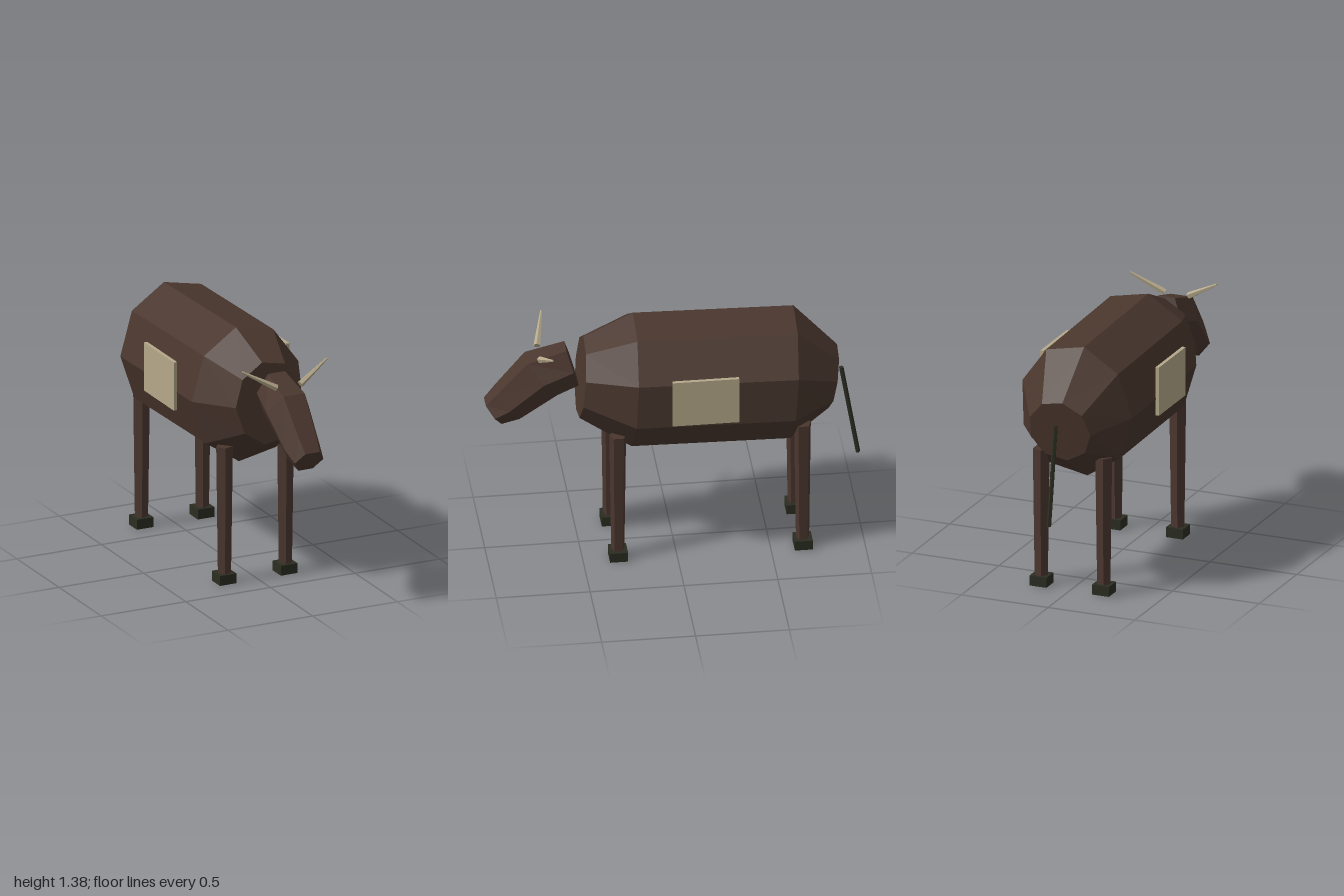
import * as THREE from 'three';

const flat = (name, color) => {
  const m = new THREE.MeshStandardMaterial({ color });
  m.name = name;
  m.flatShading = true;
  return m;
};

// Closed loft through rings listed back to front; each ring is [y, z, halfWidth, upY, upZ].
function loft(rings, sides, startAngle) {
  const pos = [], index = [];
  for (const [y, z, w, uy, uz] of rings) {
    for (let j = 0; j < sides; j++) {
      const a = startAngle + (j / sides) * Math.PI * 2;
      pos.push(w * Math.cos(a), y + uy * Math.sin(a), z + uz * Math.sin(a));
    }
  }
  const last = (rings.length - 1) * sides;
  for (let i = 0; i < last; i += sides) {
    for (let j = 0; j < sides; j++) {
      const k = (j + 1) % sides;
      index.push(i + j, i + k, i + sides + k, i + j, i + sides + k, i + sides + j);
    }
  }
  for (let j = 1; j < sides - 1; j++) {
    index.push(0, j + 1, j, last, last + j, last + j + 1);
  }
  const g = new THREE.BufferGeometry();
  g.setAttribute('position', new THREE.Float32BufferAttribute(pos, 3));
  g.setIndex(index);
  const out = g.toNonIndexed();
  out.computeVertexNormals();
  return out;
}

export function createModel() {
  const group = new THREE.Group();
  const hide = flat('brown hide', 0x4a372e);
  const dark = flat('dark hoof', 0x2b2d21);
  const bone = flat('pale bone', 0xb5a88a);

  const add = (name, geometry, material, x = 0, y = 0, z = 0) => {
    const m = new THREE.Mesh(geometry, material);
    m.name = name;
    m.position.set(x, y, z);
    group.add(m);
    return m;
  };

  // Tapered rod between two points
  const rod = (name, a, b, rA, rB, sides, material) => {
    const from = new THREE.Vector3(...a), to = new THREE.Vector3(...b);
    const dir = to.clone().sub(from);
    const m = add(name, new THREE.CylinderGeometry(rB, rA, dir.length(), sides), material);
    m.position.copy(from).add(to).multiplyScalar(0.5);
    m.quaternion.setFromUnitVectors(new THREE.Vector3(0, 1, 0), dir.normalize());
  };

  // Nine-sided barrel body
  add('body', loft([
    [0.94, -0.848, 0.178, 0.173, -0.033],
    [0.988, -0.628, 0.325, 0.373, -0.023],
    [1.005, 0.222, 0.325, 0.376, -0.018],
    [1.035, 0.49, 0.2, 0.228, -0.02],
  ], 9, Math.PI), hide);

  // Six-sided head, drooping to the muzzle
  add('head', loft([
    [1.12, 0.538, 0.1, 0.127, 0.0375],
    [1.068, 0.7, 0.125, 0.118, 0.092],
    [0.905, 0.88, 0.102, 0.092, 0.07],
    [0.855, 0.957, 0.085, 0.069, 0.049],
  ], 6, 0), hide);

  // Legs and hooves
  for (const [end, z] of [['front', 0.312], ['back', -0.672]]) {
    for (const [side, x] of [['Left', 0.18], ['Right', -0.18]]) {
      add(end + side + 'Leg',
        new THREE.CylinderGeometry(0.047, 0.037, 0.725, 5, 1, false, -Math.PI / 2), hide, x, 0.4025, z);
      add(end + side + 'Hoof', new THREE.BoxGeometry(0.098, 0.055, 0.096), dark, x, 0.0275, z);
    }
  }

  // Horns and side panels
  for (const [side, s] of [['left', 1], ['right', -1]]) {
    rod(side + 'Horn', [s * 0.07, 1.2, 0.713], [s * 0.25, 1.302, 0.668], 0.019, 0.006, 5, bone);
    add(side + 'Panel', new THREE.BoxGeometry(0.02, 0.27, 0.355), bone, s * 0.332, 1.035, -0.137);
  }

  // Tail
  rod('tail', [0, 0.985, -0.898], [0, 0.45, -0.987], 0.013, 0.013, 5, dark);

  return group;
}
